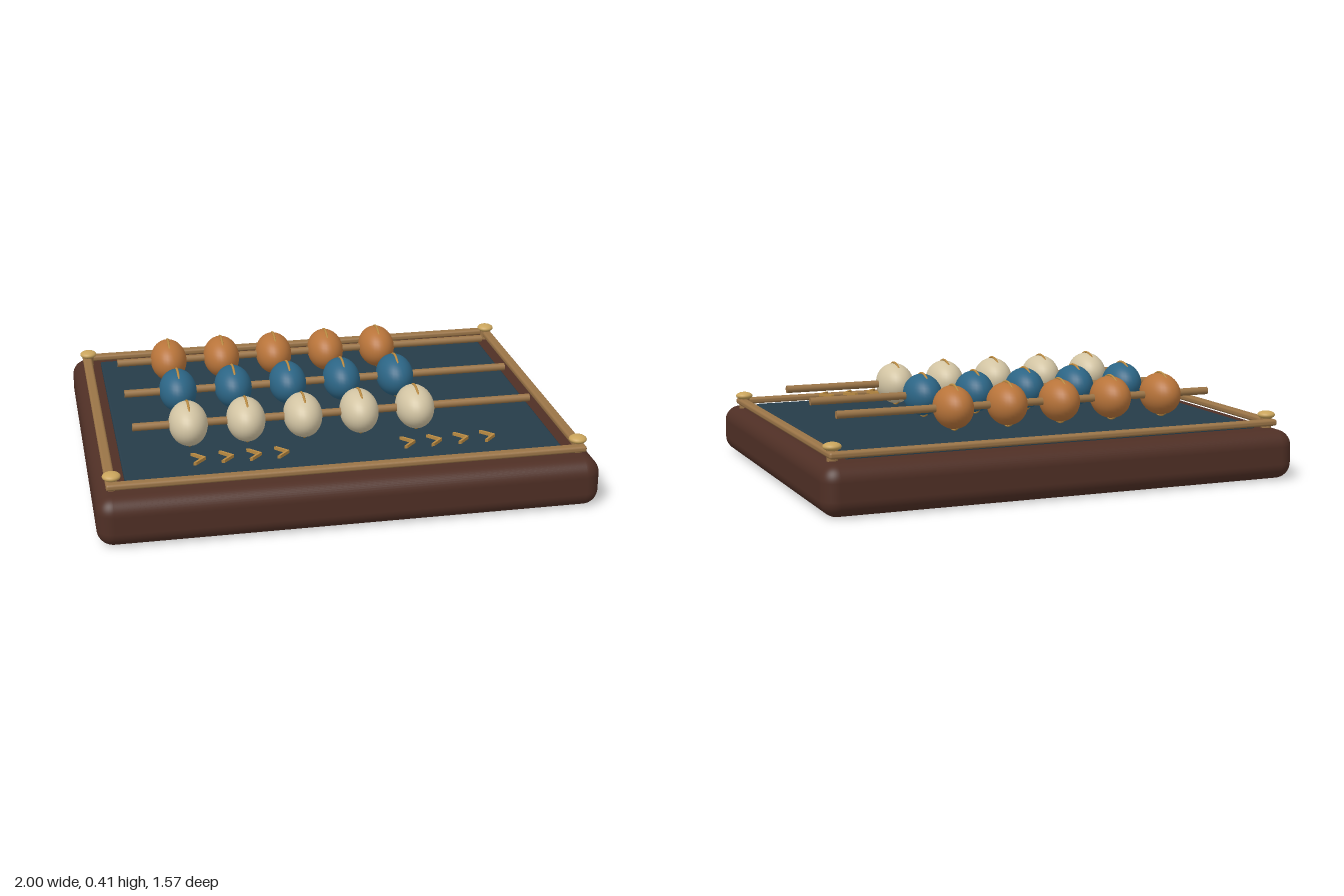
import * as THREE from 'three';
import { RoundedBoxGeometry } from 'three/addons/geometries/RoundedBoxGeometry.js';

const paint = (name, color) => {
  const m = new THREE.MeshStandardMaterial({ color });
  m.name = name;
  return m;
};

export function createModel() {
  const model = new THREE.Group();
  model.name = 'countingBoard';

  const wood = paint('dark wood', 0x4f2f25);
  const slate = paint('slate blue', 0x263c49);
  const bronze = paint('bronze', 0x9a7447);
  const gold = paint('gold', 0xc9a45c);
  const amber = paint('amber', 0xb8743a);
  const blue = paint('blue', 0x2c6585);
  const cream = paint('cream', 0xd2c4a3);
  const brass = paint('brass', 0xb98a42);

  const add = (name, geometry, material, x, y, z, parent = model) => {
    const mesh = new THREE.Mesh(geometry, material);
    mesh.name = name;
    mesh.position.set(x, y, z);
    parent.add(mesh);
    return mesh;
  };

  // Rounded wooden base and the inlaid panel
  add('base', new RoundedBoxGeometry(2, 0.2, 1.57, 6, 0.065), wood, 0, 0.1, 0);
  add('panel', new RoundedBoxGeometry(1.754, 0.035, 1.322, 3, 0.008), slate, 0, 0.196, 0);

  // Raised frame strips and corner studs
  const longStrip = new RoundedBoxGeometry(1.88, 0.026, 0.04, 3, 0.01);
  const shortStrip = new RoundedBoxGeometry(0.04, 0.026, 1.42, 3, 0.01);
  const stud = new THREE.SphereGeometry(0.036, 24, 16).scale(1, 0.46, 1);
  const post = new THREE.CylinderGeometry(0.022, 0.022, 0.05, 16);
  for (const s of [-1, 1]) {
    add('frameLongStrip', longStrip, bronze, 0, 0.225, s * 0.69);
    add('frameSideStrip', shortStrip, bronze, s * 0.935, 0.225, 0);
    for (const t of [-1, 1]) {
      add('cornerPost', post, bronze, s * 0.93, 0.222, t * 0.66);
      add('cornerStud', stud, gold, s * 0.93, 0.253, t * 0.66);
    }
  }

  // Three rods, each with five oval beads banded by a thin ring
  const rod = new THREE.CylinderGeometry(0.016, 0.016, 1.64, 16).rotateZ(Math.PI / 2);
  const bead = new THREE.SphereGeometry(1, 32, 20).scale(0.078, 0.087, 0.113);
  const ring = new THREE.TorusGeometry(0.09, 0.005, 8, 48).rotateY(Math.PI / 2);
  [[-0.357, amber, 'amber'], [0, blue, 'blue'], [0.355, cream, 'cream']].forEach(([z, color, label]) => {
    const row = new THREE.Group();
    row.name = label + 'BeadRow';
    row.position.set(0, 0.317, z);
    model.add(row);
    add('rod', rod, bronze, 0, 0, 0, row);
    for (let i = 0; i < 5; i++) {
      const x = -0.597 + i * 0.2325;
      add('bead', bead, color, x, 0, 0, row);
      add('beadRing', ring, brass, x, 0, 0, row);
    }
  });

  // Two groups of four chevrons along the front edge
  const chevronShape = new THREE.Shape([
    [-0.028, -0.045], [-0.016, -0.045], [0.027, 0], [-0.016, 0.045],
    [-0.028, 0.045], [0.013, 0],
  ].map(([x, y]) => new THREE.Vector2(x, y)));
  const chevron = new THREE.ExtrudeGeometry(chevronShape, { depth: 0.013, bevelEnabled: false })
    .rotateX(-Math.PI / 2);
  for (const start of [-0.58, 0.26]) {
    for (let i = 0; i < 4; i++) add('chevron', chevron, brass, start + i * 0.11, 0.245, 0.559);
  }

  return model;
}
